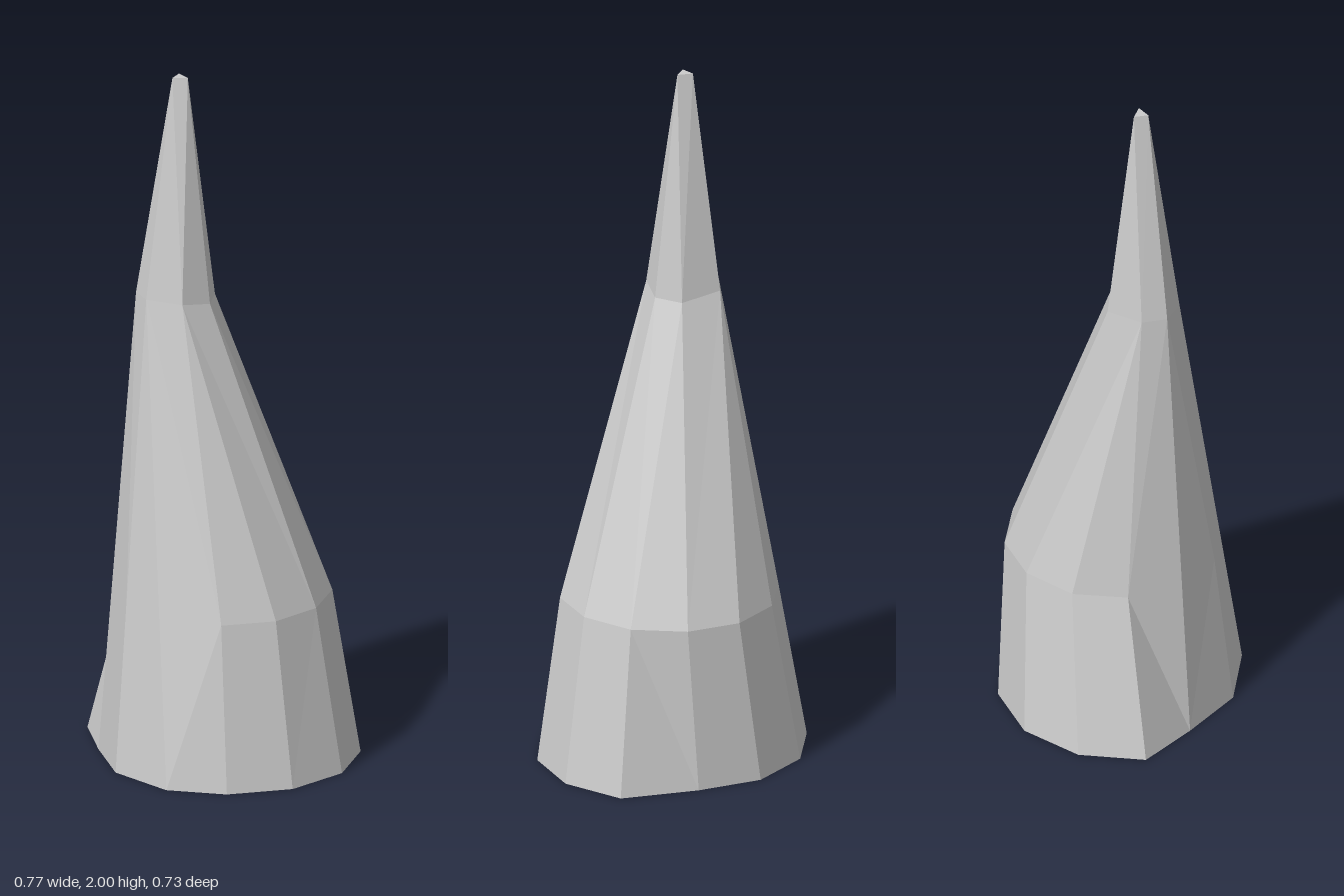
import * as THREE from 'three';

// Cross-sections from bottom to top as [x, z] corners, twelve columns each,
// starting at the left (+x) and turning towards the front (+z).
const base = [[0.383, 0], [0.335, 0.183], [0.2, 0.318], [0.017, 0.367], [-0.153, 0.335], [-0.298, 0.192],
  [-0.35, 0], [-0.385, -0.183], [-0.25, -0.318], [-0.067, -0.367], [0.117, -0.318], [0.25, -0.183]];
const shoulder = [[0.304, 0], [0.262, 0.155], [0.152, 0.268], [0, 0.308], [-0.175, 0.24], [-0.269, 0.148],
  [-0.313, 0], [-0.267, -0.155], [-0.158, -0.268], [0, -0.308], [0.152, -0.268], [0.262, -0.155]];

// Upper sections have fewer corners, so several columns share one corner.
const neckCorners = [[-0.025, -0.03], [-0.037, 0.055], [-0.113, 0.11], [-0.215, 0.067], [-0.245, 0], [-0.215, -0.067], [-0.115, -0.11]];
const neck = [0, 1, 2, 2, 3, 3, 4, 5, 5, 6, 6, 0].map(i => neckCorners[i]);
const tipCorners = [[-0.1, 0.012], [-0.143, 0.012], [-0.125, -0.025]];
const tip = [0, 0, 0, 0, 1, 1, 1, 2, 2, 2, 2, 0].map(i => tipCorners[i]);

const ring = (section, y) => section.map(([x, z]) => new THREE.Vector3(x, y, z));

function hornGeometry() {
  const rings = [ring(base, 0), ring(shoulder, 0.48), ring(neck, 1.36), ring(tip, 2)];
  rings[2][0].y = rings[2][1].y = rings[2][11].y = 1.345;
  const positions = [];
  const triangle = (a, b, c) => {
    if (a.equals(b) || b.equals(c) || c.equals(a)) return;
    for (const p of [a, b, c]) positions.push(p.x, p.y, p.z);
  };

  // Side bands; the diagonals swap sides halfway round
  const n = base.length;
  for (let k = 0; k < rings.length - 1; k++) {
    for (let j = 0; j < n; j++) {
      const i = (j + 1) % n;
      const a = rings[k][j], b = rings[k][i], c = rings[k + 1][j], d = rings[k + 1][i];
      if ((k === 0) === (j < 6)) {
        triangle(a, c, b);
        triangle(b, c, d);
      } else {
        triangle(a, c, d);
        triangle(a, d, b);
      }
    }
  }

  // Flat bottom and small top facet
  for (let j = 1; j < n - 1; j++) triangle(rings[0][0], rings[0][j], rings[0][j + 1]);
  triangle(...tipCorners.map(([x, z]) => new THREE.Vector3(x, 2, z)).reverse());

  const geometry = new THREE.BufferGeometry();
  geometry.setAttribute('position', new THREE.Float32BufferAttribute(positions, 3));
  geometry.computeVertexNormals();
  return geometry;
}

export function createModel() {
  const group = new THREE.Group();
  group.name = 'rockSpire';
  const spire = new THREE.Mesh(hornGeometry(), new THREE.MeshStandardMaterial({ color: 0xcccccc, flatShading: true }));
  spire.name = 'spire';
  group.add(spire);
  return group;
}
